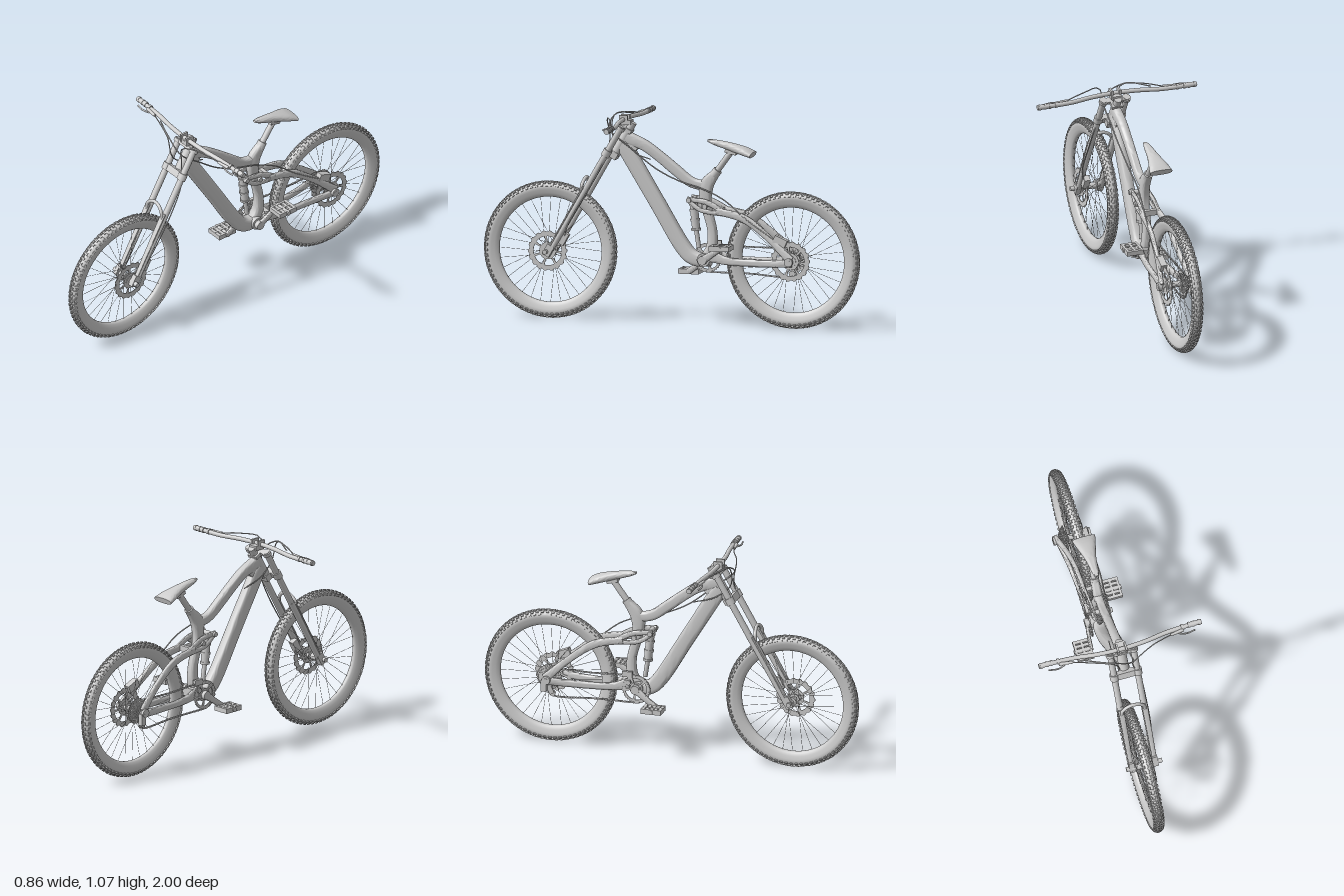
import * as THREE from 'three';
import { mergeGeometries, toCreasedNormals } from 'three/addons/utils/BufferGeometryUtils.js';

const mat = new THREE.MeshStandardMaterial({ color: 0xcccccc, roughness: 0.7 });
const V = (p) => new THREE.Vector3(...p);

function add(parent, name, geo, pos = [0, 0, 0]) {
  const m = new THREE.Mesh(geo, mat);
  m.name = name;
  m.position.set(...pos);
  parent.add(m);
  return m;
}
const box = (w, h, d) => new THREE.BoxGeometry(w, h, d);
const axleCyl = (r, len, seg = 20) => new THREE.CylinderGeometry(r, r, len, seg).rotateZ(-Math.PI / 2);

// straight round bar between two points
function rod(a, b, r1, r2 = r1, seg = 16) {
  const A = V(a), B = V(b), d = B.clone().sub(A);
  const g = new THREE.CylinderGeometry(r2, r1, d.length(), seg);
  g.applyQuaternion(new THREE.Quaternion().setFromUnitVectors(V([0, 1, 0]), d.normalize()));
  return g.translate(...A.add(B).multiplyScalar(0.5).toArray());
}
const hose = (pts, r = 0.003, n = 32, seg = 8) =>
  new THREE.TubeGeometry(new THREE.CatmullRomCurve3(pts.map(V)), n, r, seg);

// lofted tube: sections are [x, y, z, half width in x, half thickness]
function sweep(sections, power = 0.65, steps = 24, sides = 24) {
  const path = new THREE.CatmullRomCurve3(sections.map((s) => V(s)), false, 'catmullrom', 0.5);
  const size = new THREE.CatmullRomCurve3(sections.map((s) => V([s[3], s[4], 0])), false, 'catmullrom', 0.5);
  const pos = [], idx = [], X = V([1, 0, 0]);
  const sp = (c) => Math.sign(c) * Math.abs(c) ** power;
  for (let i = 0; i <= steps; i++) {
    const p = path.getPoint(i / steps), s = size.getPoint(i / steps);
    const N = path.getTangent(i / steps).cross(X).normalize();
    for (let j = 0; j < sides; j++) {
      const a = (j / sides) * Math.PI * 2;
      pos.push(...p.clone().addScaledVector(X, s.x * sp(Math.cos(a))).addScaledVector(N, s.y * sp(Math.sin(a))).toArray());
    }
  }
  const c0 = pos.length / 3;
  pos.push(...path.getPoint(0).toArray(), ...path.getPoint(1).toArray());
  for (let j = 0; j < sides; j++) {
    const k = (j + 1) % sides, e = steps * sides;
    for (let i = 0; i < steps; i++) {
      const a = i * sides + j, b = i * sides + k;
      idx.push(a, b, a + sides, b, b + sides, a + sides);
    }
    idx.push(c0, k, j, c0 + 1, e + j, e + k);
  }
  const g = new THREE.BufferGeometry();
  g.setAttribute('position', new THREE.Float32BufferAttribute(pos, 3));
  g.setIndex(idx);
  return toCreasedNormals(g, 0.9);
}

// flat ring with windows, facing along x
function perforatedDisc(r, outer, inner, windows, thick, teeth) {
  const s = new THREE.Shape(), n = teeth * 4;
  for (let i = 0; i < n; i++) {
    const a = (i / n) * Math.PI * 2, q = i % 4 > 1 ? r * 0.94 : r;
    s[i ? 'lineTo' : 'moveTo'](q * Math.cos(a), q * Math.sin(a));
  }
  for (let i = 0; i < windows; i++) {
    const a = (i / windows) * Math.PI * 2, w = ((Math.PI * 2) / windows) * 0.8, h = new THREE.Path();
    h.absarc(0, 0, r * outer, a, a + w, false);
    h.absarc(0, 0, inner, a + w, a, true);
    s.holes.push(h);
  }
  return new THREE.ExtrudeGeometry(s, { depth: thick, bevelEnabled: false, curveSegments: 8 })
    .translate(0, 0, -thick / 2).rotateY(Math.PI / 2);
}

function wheel(name) {
  const g = new THREE.Group();
  g.name = name;
  // tyre flowing into a deep rim
  const prof = [];
  for (let i = 0; i <= 16; i++) {
    const a = -1.9 + (3.8 * i) / 16;
    prof.push(new THREE.Vector2(0.32 + 0.028 * Math.cos(a), 0.026 * Math.sin(a)));
  }
  add(g, 'tyre', new THREE.LatheGeometry(prof, 80).rotateZ(-Math.PI / 2));
  const rim = [[0.311, 0.0246], [0.293, 0.0205], [0.278, 0.0135], [0.272, 0.007], [0.271, 0], [0.272, -0.007], [0.278, -0.0135], [0.293, -0.0205], [0.311, -0.0246]];
  add(g, 'rim', new THREE.LatheGeometry(rim.map((p) => new THREE.Vector2(...p)), 80).rotateZ(-Math.PI / 2));
  // tread blocks
  const knobs = [];
  [-1.15, -0.7, -0.22, 0.22, 0.7, 1.15].forEach((phi, row) => {
    for (let i = 0; i < 76; i++) {
      const t = ((i + (row % 2) * 0.5) / 76) * Math.PI * 2;
      knobs.push(box(0.009, 0.01, 0.014).rotateZ(-phi)
        .translate(0.0265 * Math.sin(phi), 0.32 + 0.0285 * Math.cos(phi), 0).rotateX(t));
    }
  });
  add(g, 'treadBlocks', mergeGeometries(knobs));
  // laced spokes
  const spokes = [];
  for (let i = 0; i < 32; i++) {
    const a = (i / 32) * Math.PI * 2, b = a + (i % 4 < 2 ? 0.9 : -0.9), x = i % 2 ? 0.026 : -0.026;
    spokes.push(rod([x, 0.024 * Math.cos(b), 0.024 * Math.sin(b)], [0, 0.273 * Math.cos(a), 0.273 * Math.sin(a)], 0.001, 0.001, 5));
  }
  add(g, 'spokes', mergeGeometries(spokes));
  // hub and brake disc
  add(g, 'hub', axleCyl(0.016, 0.1));
  for (const x of [-0.026, 0.026]) add(g, 'hubFlange', axleCyl(0.028, 0.005, 28), [x, 0, 0]);
  add(g, 'brakeDisc', perforatedDisc(0.104, 0.72, 0.044, 7, 0.004, 18), [0.055, 0, 0]);
  add(g, 'discCarrier', axleCyl(0.03, 0.008, 24), [0.055, 0, 0]);
  return g;
}

function pedal() {
  const g = new THREE.Group();
  g.name = 'pedal';
  add(g, 'pedalSpindle', axleCyl(0.012, 0.1));
  for (const z of [-0.046, -0.023, 0.023, 0.046]) add(g, 'pedalBar', box(0.086, 0.024, 0.016), [0, 0, z]);
  for (const x of [-0.038, 0, 0.038]) add(g, 'pedalPlate', box(0.012, 0.026, 0.108), [x, 0, 0]);
  return g;
}

export function createModel() {
  const bike = new THREE.Group();
  bike.name = 'mountainBike';
  const R = 0.357, AX = 0.647, BB = [0, 0.343, -0.18];
  const front = wheel('frontWheel'), rear = wheel('rearWheel');
  front.position.set(-0.016, R, AX);
  rear.position.set(0.002, R, -AX);
  bike.add(front, rear);

  // double crown fork, built upright then raked
  const fork = new THREE.Group();
  fork.name = 'fork';
  fork.position.set(0, 1.02, 0.245);
  fork.rotation.x = -0.523;
  bike.add(fork);
  add(fork, 'headTube', rod([0, -0.02, -0.03], [0, -0.16, -0.03], 0.025, 0.027, 24));
  add(fork, 'steererCap', rod([0, 0.03, -0.03], [0, -0.02, -0.03], 0.02));
  for (const [y, h, w] of [[-0.016, 0.018, 0.1], [-0.165, 0.036, 0.11]]) {
    add(fork, 'crown', box(w, h, 0.03), [0, y, 0]);
    add(fork, 'crownCentre', box(0.06, h, 0.06), [0, y, -0.02]);
    for (const s of [-1, 1]) add(fork, 'crownClamp', rod([s * 0.062, y - h / 2, 0], [s * 0.062, y + h / 2, 0], 0.023));
  }
  for (const s of [-1, 1]) {
    const x = s * 0.062;
    add(fork, 'upperLeg', rod([x, -0.004, 0], [x, -0.37, 0], 0.0165));
    add(fork, 'lowerLeg', rod([x, -0.36, 0], [x, -0.75, 0], 0.017, 0.014));
    add(fork, 'legGuard', sweep([[x, -0.38, 0.016, 0.016, 0.006], [x, -0.55, 0.016, 0.014, 0.005], [x, -0.74, 0.014, 0.012, 0.005]]));
    add(fork, 'dropout', box(0.028, 0.06, 0.04), [x, -0.765, 0.01]);
  }
  add(fork, 'forkArch', hose([[-0.062, -0.41, 0.015], [-0.056, -0.378, 0.03], [-0.03, -0.354, 0.038], [0, -0.347, 0.04], [0.03, -0.354, 0.038], [0.056, -0.378, 0.03], [0.062, -0.41, 0.015]], 0.009, 32, 10));
  add(bike, 'frontAxle', axleCyl(0.012, 0.19), [0.003, R, AX]);
  add(bike, 'frontCaliper', box(0.032, 0.065, 0.035), [0.045, 0.425, 0.56]).rotation.x = -0.5;

  // handlebar, stem, grips and levers
  add(bike, 'handlebar', hose([[-0.43, 1.043, 0.222], [-0.25, 1.041, 0.228], [-0.13, 1.045, 0.245], [0, 1.047, 0.252], [0.13, 1.045, 0.245], [0.25, 1.041, 0.228], [0.43, 1.043, 0.222]], 0.0115, 48, 14));
  for (const s of [-1, 1]) {
    add(bike, 'grip', axleCyl(0.013, 0.072), [s * 0.396, 1.043, 0.222]);
    for (const x of [0.365, 0.39, 0.42]) add(bike, 'gripCollar', axleCyl(0.015, 0.01), [s * x, 1.043, 0.222]);
    add(bike, 'leverClamp', axleCyl(0.015, 0.014), [s * 0.33, 1.043, 0.224]);
    add(bike, 'leverBody', rod([s * 0.33, 1.043, 0.24], [s * 0.26, 1.045, 0.25], 0.009, 0.007));
    add(bike, 'brakeLever', hose([[s * 0.3, 1.04, 0.25], [s * 0.34, 1.04, 0.262], [s * 0.39, 1.038, 0.255]], 0.0045));
    add(bike, 'stemClamp', box(0.01, 0.045, 0.045), [s * 0.022, 1.047, 0.25]);
  }
  add(bike, 'stemBody', box(0.05, 0.024, 0.06), [0, 1.032, 0.24]);
  // hoses
  add(bike, 'frontBrakeHose', hose([[0.26, 1.045, 0.25], [0.16, 1.06, 0.28], [0.06, 1.05, 0.325], [0.04, 0.95, 0.315], [0.07, 0.84, 0.34], [0.08, 0.7, 0.41], [0.075, 0.5, 0.53], [0.055, 0.43, 0.555]]));
  add(bike, 'shiftCable', hose([[-0.26, 1.045, 0.25], [-0.16, 1.06, 0.29], [-0.06, 1.05, 0.325], [-0.03, 0.95, 0.32], [-0.035, 0.88, 0.24], [-0.03, 0.84, 0.12]]));
  add(bike, 'rearBrakeHose', hose([[-0.2, 1.05, 0.26], [-0.08, 1.063, 0.315], [0.035, 1.0, 0.32], [0.04, 0.9, 0.2], [0.03, 0.8, 0.07], [0.03, 0.74, -0.06], [0.035, 0.71, -0.17], [0.05, 0.66, -0.29], [0.06, 0.56, -0.42], [0.07, 0.47, -0.56]], 0.0035, 60));

  // main frame
  add(bike, 'topTube', sweep([[0, 0.955, 0.245, 0.024, 0.034], [0, 0.917, 0.145, 0.023, 0.028], [0, 0.86, 0.06, 0.022, 0.027], [0, 0.798, -0.02, 0.021, 0.028], [0, 0.735, -0.11, 0.021, 0.026], [0, 0.72, -0.205, 0.022, 0.025]], 0.55, 32));
  add(bike, 'downTube', sweep([[0, 0.92, 0.26, 0.025, 0.036], [0, 0.86, 0.22, 0.026, 0.041], [0, 0.62, 0.073, 0.028, 0.04], [0, 0.41, -0.055, 0.03, 0.04], [0, 0.345, -0.125, 0.033, 0.037], [0, 0.34, -0.21, 0.034, 0.032]], 0.55, 32));
  add(bike, 'headGusset', sweep([[0, 0.935, 0.245, 0.022, 0.05], [0, 0.885, 0.19, 0.02, 0.035]]));
  add(bike, 'seatTube', sweep([[0, 0.79, -0.235, 0.021, 0.022], [0, 0.72, -0.185, 0.024, 0.036], [0, 0.62, -0.185, 0.022, 0.026], [0, 0.5, -0.215, 0.022, 0.024], [0, 0.41, -0.215, 0.026, 0.028], [0, 0.35, -0.19, 0.03, 0.035]]));
  add(bike, 'bottomBracket', axleCyl(0.034, 0.09, 28), BB);
  // seat post and saddle
  add(bike, 'seatClamp', rod([0, 0.775, -0.224], [0, 0.805, -0.246], 0.024));
  add(bike, 'seatPost', rod([0, 0.76, -0.213], [0, 0.905, -0.318], 0.016));
  add(bike, 'saddleClamp', box(0.04, 0.025, 0.06), [0, 0.905, -0.318]).rotation.x = -0.25;
  add(bike, 'saddle', sweep([[0, 0.955, -0.193, 0.011, 0.006], [0, 0.947, -0.23, 0.019, 0.014], [0, 0.929, -0.31, 0.03, 0.02], [0, 0.908, -0.385, 0.05, 0.021], [0, 0.891, -0.432, 0.061, 0.016]], 0.8));

  // shock
  add(bike, 'shockBody', rod([0, 0.645, -0.115], [0, 0.5, -0.13], 0.021));
  add(bike, 'shockShaft', rod([0, 0.5, -0.13], [0, 0.4, -0.145], 0.012));
  for (const y of [0.64, 0.6, 0.55, 0.5]) add(bike, 'shockCollar', rod([0, y, -0.115 - (0.645 - y) * 0.1], [0, y - 0.012, -0.116 - (0.645 - y) * 0.1], 0.025));
  add(bike, 'shockMount', axleCyl(0.013, 0.07), [0, 0.65, -0.114]);

  // rear suspension arms, mirrored
  for (const s of [-1, 1]) {
    add(bike, 'rockerUpper', sweep([[s * 0.038, 0.655, -0.095, 0.007, 0.012], [s * 0.042, 0.64, -0.2, 0.007, 0.014], [s * 0.045, 0.595, -0.29, 0.007, 0.014]]));
    add(bike, 'rockerLower', sweep([[s * 0.038, 0.645, -0.1, 0.006, 0.011], [s * 0.042, 0.6, -0.17, 0.006, 0.012], [s * 0.045, 0.585, -0.28, 0.006, 0.012]]));
    add(bike, 'seatStay', sweep([[s * 0.045, 0.6, -0.25, 0.01, 0.018], [s * 0.05, 0.565, -0.4, 0.011, 0.021], [s * 0.06, 0.475, -0.53, 0.011, 0.018], [s * 0.08, 0.365, -0.655, 0.01, 0.022]]));
    add(bike, 'chainStay', sweep([[s * 0.035, 0.365, -0.22, 0.01, 0.032], [s * 0.042, 0.342, -0.32, 0.01, 0.02], [s * 0.055, 0.34, -0.5, 0.01, 0.019], [s * 0.08, 0.35, -0.66, 0.01, 0.02]]));
    for (const [y, z] of [[0.65, -0.105], [0.62, -0.19], [0.592, -0.28], [0.375, -0.22]]) add(bike, 'pivotBolt', axleCyl(0.013, 0.012), [s * 0.05, y, z]);
    add(bike, 'axleCap', axleCyl(0.022, 0.018), [s * 0.09, R, -AX]);
  }
  add(bike, 'stayBridge', box(0.09, 0.03, 0.02), [0, 0.595, -0.262]);
  add(bike, 'chainStayBridge', box(0.08, 0.045, 0.03), [0, 0.365, -0.245]);
  add(bike, 'rearAxle', axleCyl(0.011, 0.2), [0, R, -AX]);
  add(bike, 'rearCaliper', box(0.034, 0.04, 0.07), [0.058, 0.46, -0.595]).rotation.x = -0.4;

  // cranks, chainring and pedals
  for (const [s, y, z] of [[-1, 0.264, -0.07], [1, 0.42, -0.293]]) {
    add(bike, 'crankArm', sweep([[s * 0.058, BB[1], BB[2], 0.009, 0.021], [s * 0.064, (BB[1] + y) / 2, (BB[2] + z) / 2, 0.009, 0.016], [s * 0.066, y, z, 0.009, 0.016]]));
    add(bike, 'crankBoss', axleCyl(0.023, 0.024), [s * 0.058, BB[1], BB[2]]);
    const p = pedal();
    p.position.set(s * 0.108, y, z);
    bike.add(p);
  }
  const CX = -0.047;
  add(bike, 'chainring', perforatedDisc(0.074, 0.78, 0.026, 5, 0.005, 34), [CX, BB[1], BB[2]]);
  add(bike, 'chainGuide', box(0.016, 0.03, 0.055), [CX, 0.42, -0.225]);

  // cassette and derailleur
  for (let i = 0; i < 7; i++) add(bike, 'sprocket', perforatedDisc(0.068 - i * 0.006, 0.78, 0.018, 6, 0.003, 30 - i * 2), [-0.034 - i * 0.005, R, -AX]);
  add(bike, 'derailleurBody', box(0.026, 0.06, 0.03), [-0.083, 0.325, -0.66]);
  add(bike, 'derailleurCage', sweep([[-0.06, 0.32, -0.645, 0.004, 0.014], [-0.058, 0.275, -0.625, 0.004, 0.014]]));
  for (const [y, z] of [[0.315, -0.64], [0.278, -0.625]]) add(bike, 'jockeyWheel', axleCyl(0.017, 0.006, 14), [-0.05, y, z]);

  // chain links spaced along the loop
  const loop = [];
  for (let i = 0; i <= 10; i++) {
    const a = Math.PI / 2 - (i / 10) * Math.PI;
    loop.push(V([CX, BB[1] + 0.072 * Math.sin(a), BB[2] + 0.072 * Math.cos(a)]));
  }
  for (const [y, z] of [[0.27, -0.4], [0.262, -0.62], [0.28, -0.645], [0.3, -0.63], [0.315, -0.66], [0.32, -0.683], [R, -0.698], [0.388, -0.685], [0.404, -0.65], [0.408, -0.4]]) loop.push(V([CX, y, z]));
  const chain = new THREE.CatmullRomCurve3(loop, true), links = [];
  for (let i = 0; i < 96; i++) {
    const p = chain.getPointAt(i / 96), t = chain.getTangentAt(i / 96);
    links.push(box(i % 2 ? 0.008 : 0.004, 0.008, 0.0125).rotateX(Math.atan2(-t.y, t.z)).translate(p.x, p.y, p.z));
  }
  add(bike, 'chain', mergeGeometries(links));
  return bike;
}
